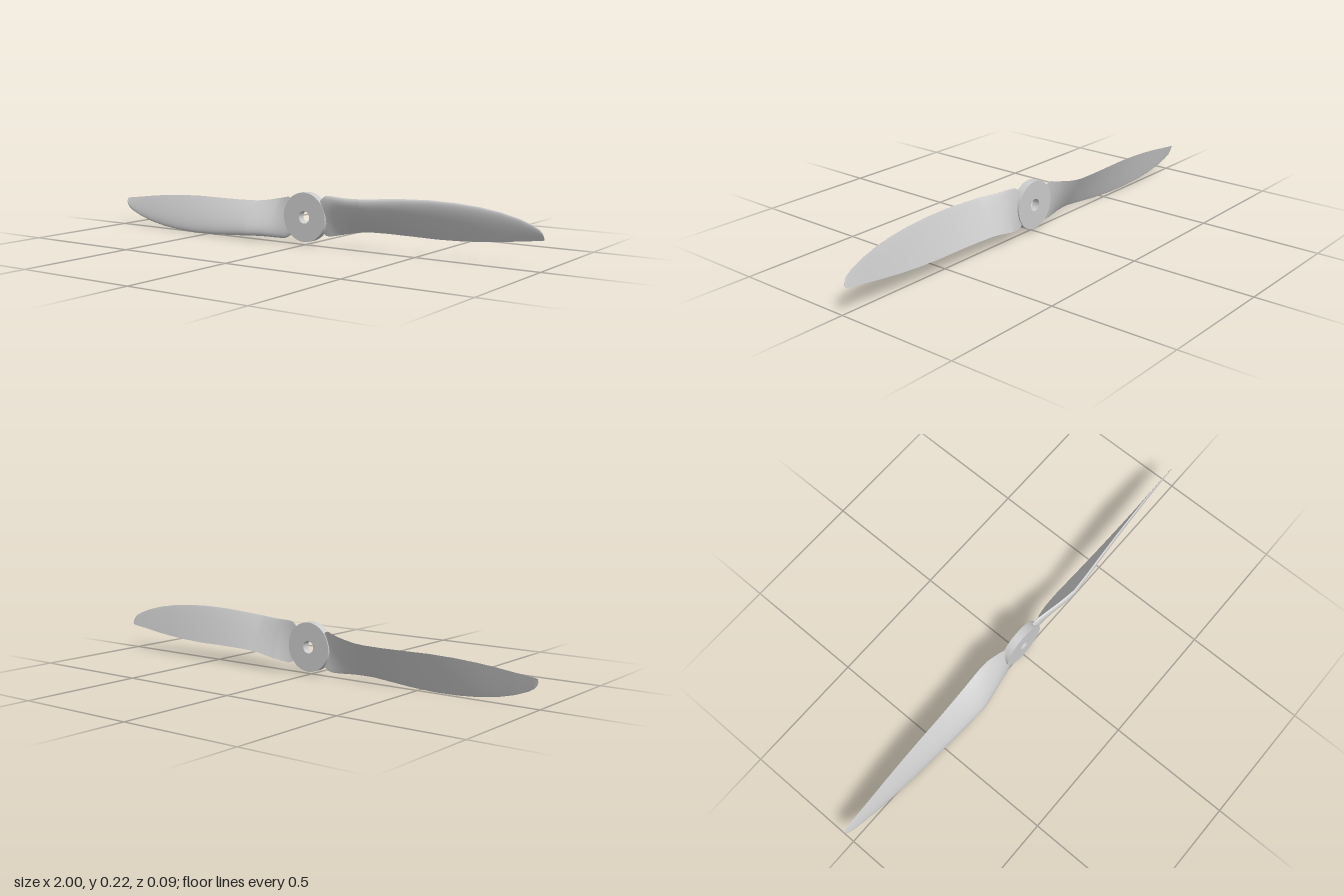
import * as THREE from 'three';

const HUB_Y = 0.111;
const material = new THREE.MeshStandardMaterial({ color: 0xcccccc, side: THREE.DoubleSide });

// Blade stations: x, leading edge y, z, trailing edge y, z, thickness
const STATIONS = [
  [0.07, 0.185, -0.006, 0.055, -0.016, 0.016],
  [0.085, 0.197, -0.003, 0.042, -0.019, 0.018],
  [0.1, 0.204, 0.001, 0.038, -0.024, 0.019],
  [0.13, 0.205, 0.007, 0.044, -0.034, 0.021],
  [0.16, 0.204, 0.013, 0.05, -0.043, 0.023],
  [0.2, 0.203, 0.021, 0.058, -0.046, 0.025],
  [0.24, 0.204, 0.028, 0.065, -0.046, 0.026],
  [0.28, 0.206, 0.034, 0.069, -0.045, 0.025],
  [0.36, 0.212, 0.03, 0.071, -0.042, 0.022],
  [0.46, 0.219, 0.023, 0.071, -0.039, 0.019],
  [0.57, 0.222, 0.015, 0.07, -0.037, 0.016],
  [0.67, 0.219, 0.008, 0.073, -0.035, 0.014],
  [0.76, 0.211, 0.001, 0.079, -0.033, 0.012],
  [0.84, 0.198, -0.005, 0.087, -0.031, 0.009],
  [0.91, 0.18, -0.011, 0.096, -0.03, 0.007],
  [0.96, 0.161, -0.015, 0.102, -0.029, 0.005],
  [0.985, 0.147, -0.018, 0.105, -0.028, 0.004],
  [0.995, 0.136, -0.019, 0.107, -0.027, 0.003],
  [1.0, 0.124, -0.021, 0.109, -0.026, 0.002],
];

// Aerofoil thickness (0 to 1) at u along the chord, leading edge at u = 0
function foil(u) {
  return (0.2969 * Math.sqrt(u) - 0.126 * u - 0.3516 * u ** 2 + 0.2843 * u ** 3 - 0.1036 * u ** 4) / 0.1;
}

// One section: trailing edge, over the convex front, round the nose, back along the flat side
function section([x, ly, lz, ty, tz, thick], n) {
  const len = Math.hypot(ly - ty, lz - tz);
  const ny = -(lz - tz) / len, nz = (ly - ty) / len;
  const points = [];
  for (let j = -n; j <= n; j++) {
    const u = (j / n) ** 2;
    const h = thick * foil(u) * (j <= 0 ? 0.92 : -0.08);
    points.push([x, ly + (ty - ly) * u + ny * h - HUB_Y, lz + (tz - lz) * u + nz * h]);
  }
  return points;
}

function bladeGeometry() {
  const n = 14, m = 2 * n + 1;
  const rings = [];
  // Smooth curve in y between stations, straight in the rest
  STATIONS.forEach((s, i) => {
    if (i === STATIONS.length - 1) return rings.push(section(s, n));
    const e = STATIONS[i + 1];
    for (let k = 0; k < 3; k++) rings.push(section(s.map((v, c) => v + (e[c] - v) * k / 3), n));
  });
  const pos = rings.flat(2);
  const index = [];
  for (let i = 0; i < rings.length - 1; i++) {
    for (let j = 0; j < m - 1; j++) {
      const a = i * m + j, c = a + m;
      index.push(a, c, a + 1, a + 1, c, c + 1);
    }
  }
  // End caps on their own vertices so the edges stay sharp
  [rings[0], rings[rings.length - 1]].forEach((ring, end) => {
    const base = pos.length / 3;
    pos.push(...ring.flat());
    for (let k = 1; k < m - 1; k++) {
      if (end) index.push(base, base + k + 1, base + k);
      else index.push(base, base + k, base + k + 1);
    }
  });
  const geo = new THREE.BufferGeometry();
  geo.setAttribute('position', new THREE.Float32BufferAttribute(pos, 3));
  geo.setIndex(index);
  geo.computeVertexNormals();
  return geo;
}

export function createModel() {
  const model = new THREE.Group();
  model.name = 'propeller';

  // Hub disc with the shaft hole
  const disc = new THREE.Shape().absarc(0, 0, 0.099, 0, Math.PI * 2, false);
  disc.holes.push(new THREE.Path().absarc(0, 0, 0.025, 0, Math.PI * 2, true));
  const hub = new THREE.Mesh(
    new THREE.ExtrudeGeometry(disc, { depth: 0.033, bevelEnabled: false, curveSegments: 48 }), material);
  hub.name = 'hub';
  hub.position.set(0, HUB_Y, -0.022);
  model.add(hub);

  // Two blades, half a turn apart around the shaft
  const geo = bladeGeometry();
  ['leftBlade', 'rightBlade'].forEach((name, i) => {
    const blade = new THREE.Mesh(geo, material);
    blade.name = name;
    blade.position.y = HUB_Y;
    blade.rotation.z = i * Math.PI;
    model.add(blade);
  });
  return model;
}
